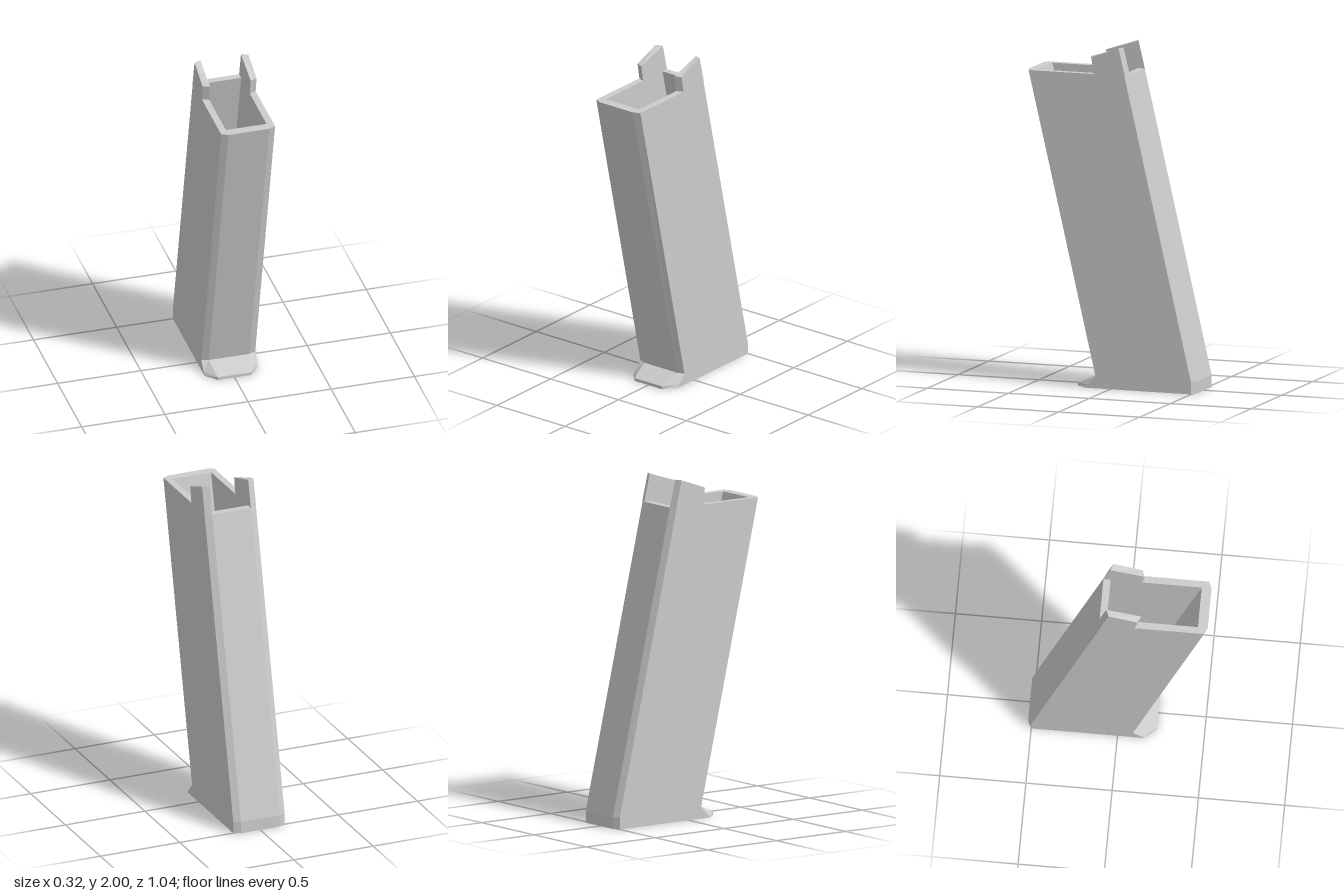
import * as THREE from 'three';

const W = 0.162; // half width of the outer shell
const I = 0.122; // half width of the cavity and of the bevelled end faces

// Skin a stack of equal-length rings (counter-clockwise seen from the far end) and cap both ends.
function loft(name, rings, material) {
  const pos = [];
  const tri = (a, b, c) => {
    const n = b.clone().sub(a).cross(c.clone().sub(a));
    if (n.length() > 1e-9) pos.push(...a.toArray(), ...b.toArray(), ...c.toArray());
  };
  const n = rings[0].length;
  for (let r = 0; r < rings.length - 1; r++) {
    const lo = rings[r], hi = rings[r + 1];
    for (let i = 0; i < n; i++) {
      const j = (i + 1) % n;
      tri(lo[i], lo[j], hi[j]);
      tri(lo[i], hi[j], hi[i]);
    }
  }
  const first = rings[0], last = rings[rings.length - 1];
  for (let i = 1; i < n - 1; i++) {
    tri(first[0], first[i + 1], first[i]);
    tri(last[0], last[i], last[i + 1]);
  }
  const geometry = new THREE.BufferGeometry();
  geometry.setAttribute('position', new THREE.Float32BufferAttribute(pos, 3));
  geometry.computeVertexNormals();
  const mesh = new THREE.Mesh(geometry, material);
  mesh.name = name;
  return mesh;
}

// Horizontal bevelled section: side half width, front/back face half widths,
// and the z of the front face, front corner, back corner and back face.
function section(y, w, xf, xb, zFront, zFrontSide, zBackSide, zBack) {
  return [
    [w, zFrontSide], [w, zBackSide], [xb, zBack], [-xb, zBack],
    [-w, zBackSide], [-w, zFrontSide], [-xf, zFront], [xf, zFront],
  ].map(([x, z]) => new THREE.Vector3(x, y, z));
}

export function createModel() {
  const group = new THREE.Group();
  group.name = 'slantedBoxShell';
  const grey = new THREE.MeshStandardMaterial({ color: 0xcccccc, flatShading: true });

  // Shell: flared toe, leaning outer walls, rim, then down the cavity to its floor
  group.add(loft('shell', [
    section(0, W, 0.1, I, 0.222, 0.155, -0.5, -0.52),
    section(0.018, W, 0.1, I, 0.222, 0.14, -0.5, -0.52),
    section(0.07, W, I, I, 0.105, 0.09, -0.5, -0.52),
    section(1.84, W, I, I, 0.52, 0.502, -0.088, -0.107),
    section(1.84, I, I, I, 0.463, 0.463, -0.065, -0.065),
    section(0.18, I, I, I, 0.07, 0.07, -0.456, -0.456),
  ], grey));

  // Tabs: one raised ear on each side wall, with bevelled front and back edges
  const ear = (x, shift) => [
    [0.116 - shift, 1.84], [-0.107 + shift, 1.84],
    [-0.068 + shift, 2], [0.133 - shift, 1.938],
  ].map(([z, y]) => new THREE.Vector3(x, y, z));
  group.add(loft('leftTab', [ear(I, 0), ear(W, 0.016)], grey));
  group.add(loft('rightTab', [ear(-W, 0.016), ear(-I, 0)], grey));

  return group;
}
